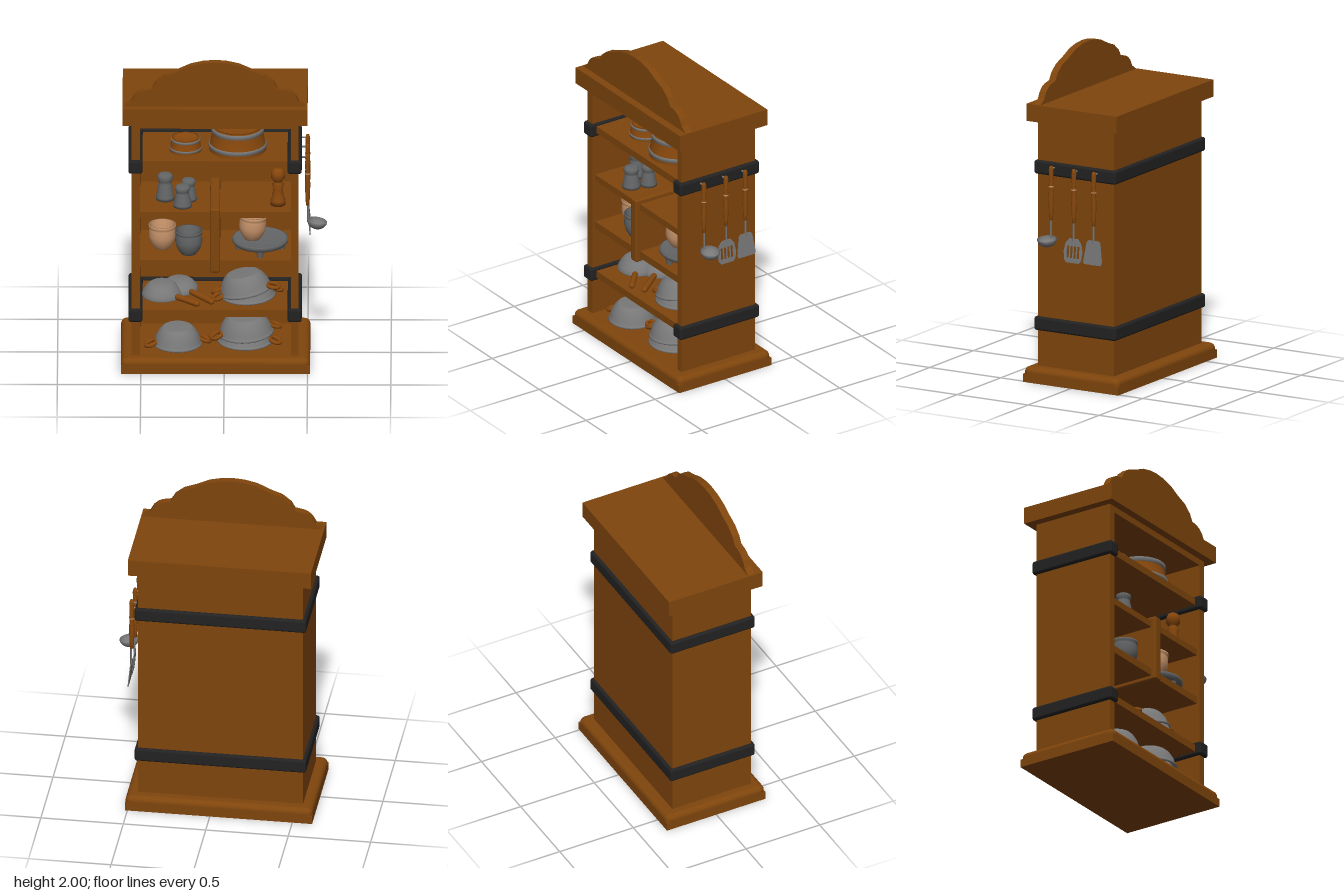
import * as THREE from 'three';
import { RoundedBoxGeometry } from 'three/addons/geometries/RoundedBoxGeometry.js';

const mat = (name, color, side = THREE.DoubleSide) =>
  Object.assign(new THREE.MeshStandardMaterial({ color, side }), { name });

export function createModel() {
  const wood = mat('cabinet wood', 0x7f450c, THREE.FrontSide);
  const handleWood = mat('handle wood', 0x87470c);
  const iron = mat('black iron', 0x222222, THREE.FrontSide);
  const steel = mat('steel', 0x787878);
  const pewter = mat('pewter', 0x646566);
  const clay = mat('clay', 0xc6936a);

  const model = new THREE.Group();
  model.name = 'kitchenCabinet';

  const add = (parent, name, geo, material, x = 0, y = 0, z = 0) => {
    const m = new THREE.Mesh(geo, material);
    m.name = name;
    m.position.set(x, y, z);
    parent.add(m);
    return m;
  };
  const group = (name, x, y, z, parent = model) => {
    const g = new THREE.Group();
    g.name = name;
    g.position.set(x, y, z);
    parent.add(g);
    return g;
  };
  // Box given by its limits, optionally with rounded edges
  const box = (name, material, x0, x1, y0, y1, z0, z1, r = 0) => {
    const s = [x1 - x0, y1 - y0, z1 - z0];
    const geo = r ? new RoundedBoxGeometry(...s, 3, r) : new THREE.BoxGeometry(...s);
    return add(model, name, geo, material, (x0 + x1) / 2, (y0 + y1) / 2, (z0 + z1) / 2);
  };
  const lathe = (pts, n = 28) => new THREE.LatheGeometry(pts.map(p => new THREE.Vector2(...p)), n);

  // Base, carcass and top
  box('basePlinth', wood, -0.62, 0.515, 0, 0.05, -0.335, 0.335);
  box('baseMoulding', wood, -0.62, 0.515, 0.005, 0.095, -0.335, 0.335, 0.035);
  box('sideWallRight', wood, -0.555, -0.505, 0.09, 1.61, -0.265, 0.27);
  box('sideWallLeft', wood, 0.4, 0.445, 0.09, 1.61, -0.265, 0.27);
  box('backWall', wood, -0.505, 0.4, 0.09, 1.61, -0.265, -0.215);
  box('ceiling', wood, -0.505, 0.4, 1.57, 1.61, -0.215, 0.27);
  box('topSlab', wood, -0.61, 0.5, 1.61, 1.715, -0.315, 0.32);
  for (const [y0, y1] of [[0.335, 0.38], [0.66, 0.705], [0.98, 1.02], [1.305, 1.35]])
    box('shelf', wood, -0.505, 0.4, y0, y1, -0.215, 0.25);
  box('divider', wood, -0.085, -0.025, 0.635, 1.05, -0.215, 0.28, 0.012);

  // Scalloped crest
  const half = [[0.545, 1.715], [0.503, 1.745], [0.482, 1.783], [0.455, 1.808], [0.429, 1.82],
    [0.376, 1.83], [0.35, 1.873], [0.297, 1.915], [0.228, 1.94], [0.145, 1.978], [0.07, 1.995]];
  const outline = [...half, [0, 2], ...half.map(([x, y]) => [-x, y]).reverse()];
  const crest = new THREE.Shape(outline.map(p => new THREE.Vector2(...p)));
  add(model, 'crest', new THREE.ExtrudeGeometry(crest, { depth: 0.045, bevelEnabled: false }),
    wood, -0.055, 0, 0.225);

  // Iron bands gripping the side and back walls
  for (const [y0, y1] of [[0.315, 0.4], [1.28, 1.365]]) {
    box('bandRight', iron, -0.575, -0.49, y0, y1, -0.285, 0.29, 0.015);
    box('bandLeft', iron, 0.38, 0.465, y0, y1, -0.285, 0.29, 0.015);
    box('bandBack', iron, -0.575, 0.465, y0, y1, -0.285, -0.2, 0.015);
  }

  // Upturned pot, with two ring handles
  const potProfile = [[0.97, 0], [1.02, 0.05], [1, 0.12], [0.94, 0.2], [0.89, 0.5],
    [0.74, 0.82], [0.62, 0.97], [0.58, 1], [0, 1]];
  const pot = (name, x, y, z, r, h, tilt = 0, turn = 0) => {
    const g = group(name, x, y, z);
    g.rotation.set(0, turn, tilt);
    add(g, 'potBody', lathe(potProfile.map(([a, b]) => [a * r, b * h])), steel);
    for (const s of [-1, 1]) {
      const ring = add(g, 'potHandle', new THREE.TorusGeometry(0.034, 0.012, 8, 18), handleWood,
        s * (r + 0.018), 0.018, 0);
      ring.rotation.set(Math.PI / 2, s * -0.35, 0);
    }
  };
  pot('lowerPotRight', -0.28, 0.11, 0.13, 0.145, 0.115, 0, 0.2);
  pot('lowerPotLeft', 0.125, 0.115, 0.09, 0.165, 0.1, 0, -0.2);
  pot('lowerPotStacked', 0.13, 0.165, 0.09, 0.165, 0.115, 0.07, 0.3);
  pot('shelfPot', 0.14, 0.395, 0.05, 0.165, 0.1, 0.03, 0.3);
  pot('shelfPotStacked', 0.13, 0.425, 0.05, 0.16, 0.115, 0.2, -0.3);

  // Upturned pans
  const pan = (x, z, r, h, turn, reach) => {
    const g = group('pan', x, 0.385, z);
    g.rotation.y = turn;
    add(g, 'panBody', lathe([[r, 0], [r * 1.03, 0.008], [r * 0.97, 0.03], [r * 0.75, h * 0.8],
      [r * 0.55, h], [0, h]]), steel);
    const grip = add(g, 'panHandle', new THREE.CapsuleGeometry(0.018, reach - r - 0.02, 5, 12),
      handleWood, 0, 0.022, (reach + r) / 2);
    grip.rotation.x = Math.PI / 2;
  };
  pan(-0.375, 0.03, 0.118, 0.085, 0.85, 0.29);
  pan(-0.27, -0.06, 0.11, 0.07, 0.67, 0.32);

  // Upturned banded bowls
  const bowl = (x, z, r, h) => {
    const g = group('bandedBowl', x, 1.35, z);
    add(g, 'bowlBody', lathe([[r, 0], [r, h * 0.25], [r * 0.97, h * 0.32], [r * 0.87, h * 0.8],
      [r * 0.87, h], [r * 0.76, h], [r * 0.74, h * 0.8], [0, h * 0.8]]), handleWood);
    const stripe = (a, b, y0, y1) => add(g, 'bowlStripe',
      lathe([[a * r, y0 * h], [b * r, y0 * h], [b * r, y1 * h], [a * r, y1 * h]]), steel);
    stripe(0.85, 0.92, 0.8, 0.98);
    stripe(0.94, 1.015, 0.13, 0.3);
  };
  bowl(-0.232, 0.07, 0.097, 0.08);
  bowl(0.08, 0.05, 0.172, 0.145);

  // Shakers
  for (const [x, z, h, r] of [[-0.355, 0.05, 0.165, 0.055], [-0.25, 0.16, 0.135, 0.055], [-0.215, 0.06, 0.135, 0.05]])
    add(model, 'shaker', lathe([[0, 0], [r, 0], [r, h * 0.12], [r * 0.72, h * 0.65], [r * 0.7, h * 0.72],
      [r * 0.85, h * 0.8], [r * 0.82, h * 0.94], [r * 0.6, h], [0, h]], 20), pewter, x, 1.02, z);

  // Pepper mill
  add(model, 'pepperMill', lathe([[0, 0], [0.045, 0], [0.045, 0.03], [0.037, 0.045], [0.028, 0.1],
    [0.036, 0.13], [0.024, 0.145], [0.026, 0.155], [0.042, 0.175], [0.042, 0.205], [0.03, 0.23],
    [0.012, 0.24], [0, 0.24]], 20), handleWood, 0.322, 1.02, 0.13);

  // Cups
  const cup = (material, x, y, z, tilt = 0) => {
    const c = add(model, 'cup', lathe([[0, 0], [0.045, 0], [0.052, 0.008], [0.072, 0.04], [0.082, 0.08],
      [0.079, 0.125], [0.076, 0.132], [0.082, 0.138], [0.082, 0.152], [0.073, 0.152], [0.071, 0.1],
      [0.05, 0.03], [0, 0.018]]), material, x, y, z);
    c.rotation.z = tilt;
  };
  cup(clay, -0.372, 0.705, 0.05);
  cup(pewter, -0.213, 0.705, 0.14);
  cup(clay, 0.165, 0.785, 0.1, -0.06);

  // Footed stand
  const stand = group('cakeStand', 0.215, 0.705, 0.07);
  add(stand, 'standPlate', lathe([[0, 0.04], [0.155, 0.04], [0.168, 0.055], [0.168, 0.073],
    [0.155, 0.077], [0.148, 0.068], [0, 0.068]]), pewter);
  for (let i = 0; i < 4; i++) {
    const a = i * Math.PI / 2;
    add(stand, 'standFoot', new THREE.CylinderGeometry(0.024, 0.017, 0.045, 12), pewter,
      0.13 * Math.cos(a), 0.0225, 0.13 * Math.sin(a));
  }

  // Hanging utensils on the left wall
  const utensil = (name, z) => {
    const g = group(name, 0.5, 0, z);
    add(g, 'grip', lathe([[0, 1.02], [0.01, 1.02], [0.013, 1.06], [0.017, 1.16], [0.012, 1.215],
      [0.016, 1.235], [0.012, 1.25], [0.015, 1.33], [0.01, 1.352], [0, 1.355]], 14), handleWood);
    add(g, 'collar', new THREE.CylinderGeometry(0.016, 0.016, 0.008, 14), clay, 0, 1.228, 0);
    add(g, 'shaft', new THREE.CylinderGeometry(0.006, 0.006, 0.12, 8), steel, 0.003, 0.97, 0);
    const peg = add(g, 'peg', new THREE.CylinderGeometry(0.006, 0.006, 0.05, 8), steel, -0.02, 1.335, 0);
    peg.rotation.z = Math.PI / 2;
    return g;
  };
  const ladle = utensil('ladle', 0.145);
  const scoop = add(ladle, 'ladleBowl',
    new THREE.SphereGeometry(0.06, 24, 10, 0, Math.PI * 2, Math.PI / 2, Math.PI / 2), steel, 0.058, 0.917, -0.006);
  scoop.scale.y = 0.85;
  scoop.rotation.z = -0.15;

  // Flat blade seen from the side, leaning outward toward its tip
  const blade = (parent, pts, slots) => {
    const shape = new THREE.Shape(pts.map(p => new THREE.Vector2(...p)));
    for (const x of slots) {
      const w = 0.008;
      shape.holes.push(new THREE.Path([[x - w, -0.12], [x - w, -0.045], [x + w, -0.045], [x + w, -0.12]]
        .map(p => new THREE.Vector2(...p))));
    }
    const pivot = group('bladeTilt', 0.004, 0.925, 0, parent);
    pivot.rotation.z = 0.09;
    const m = add(pivot, 'blade', new THREE.ExtrudeGeometry(shape, { depth: 0.005, bevelEnabled: false }), steel);
    m.rotation.y = -Math.PI / 2;
  };
  blade(utensil('slottedTurner', -0.015), [[-0.03, 0], [0.03, 0], [0.055, -0.03], [0.065, -0.08],
    [0.06, -0.13], [0.045, -0.148], [-0.045, -0.148], [-0.06, -0.13], [-0.065, -0.08], [-0.055, -0.03]],
    [-0.036, -0.012, 0.012, 0.036]);
  blade(utensil('turner', -0.155), [[-0.035, 0.005], [0.035, 0.005], [0.048, -0.01], [0.066, -0.13],
    [0.058, -0.143], [-0.058, -0.143], [-0.066, -0.13], [-0.048, -0.01]], []);

  return model;
}
